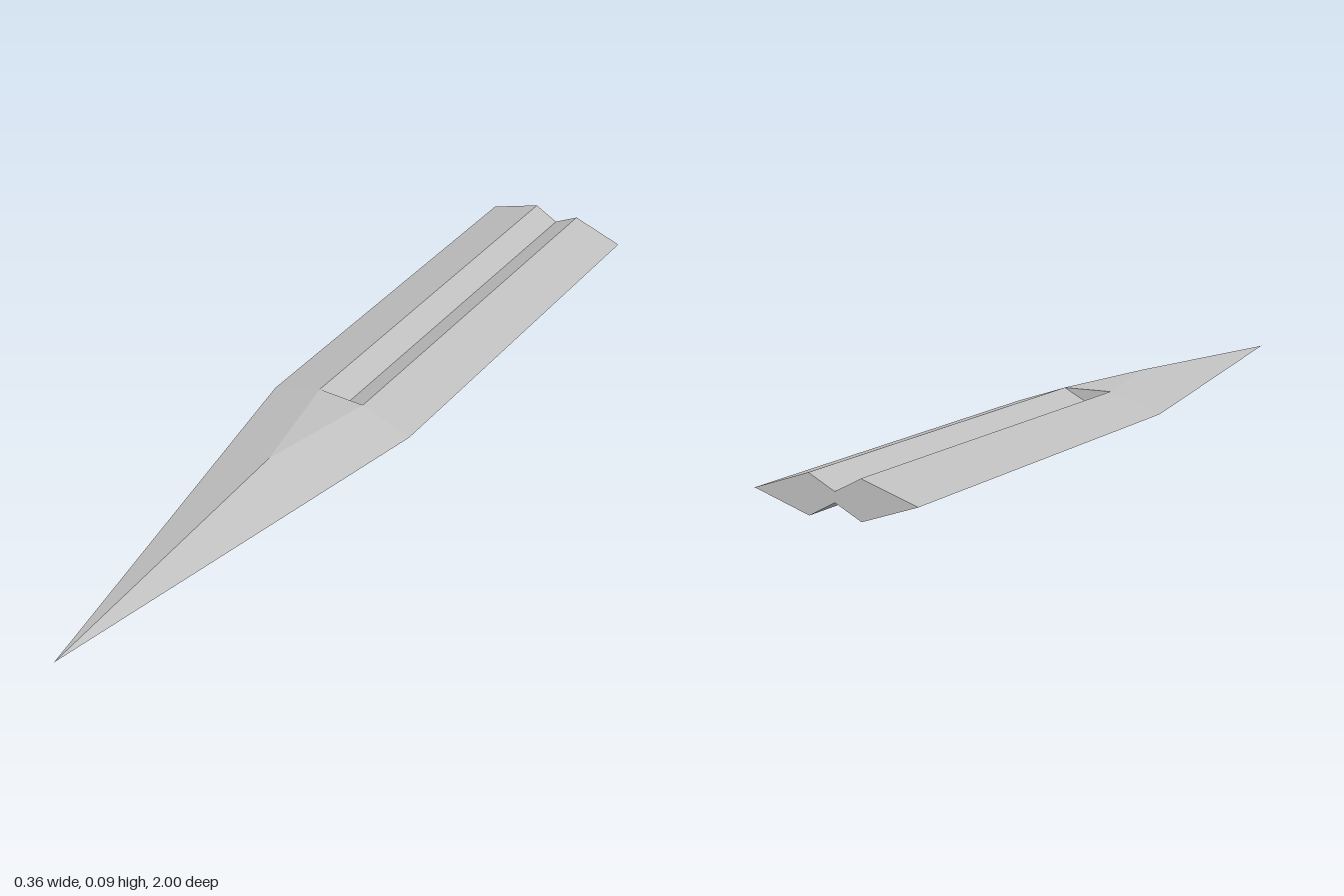
import * as THREE from 'three';

// Key points of one quarter of the blade: x >= 0, y above the mid plane
const MID = 0.0435;
const BACK = -1;
const edge = (z) => [0.178, 0, z];
const ridge = (z) => [0.057, 0.0405, z];
const groove = (z) => [0, 0.0105, z];
const axis = (z) => [0, 0, z];
const apex = [0, 0.0435, 0.28];
const tip = [0, 0, 1];

// Triangles become flat-shaded faces, repeated in all four mirrored quarters
function mirroredGeometry(triangles) {
  const positions = [];
  for (const sx of [1, -1]) {
    for (const sy of [1, -1]) {
      for (const [a, b, c] of triangles) {
        const corners = sx * sy > 0 ? [a, b, c] : [a, c, b];
        for (const [x, y, z] of corners) positions.push(x * sx, MID + y * sy, z);
      }
    }
  }
  const geometry = new THREE.BufferGeometry();
  geometry.setAttribute('position', new THREE.Float32BufferAttribute(positions, 3));
  geometry.computeVertexNormals();
  return geometry;
}

const quad = (a, b, c, d) => [[a, b, c], [a, c, d]];

export function createModel() {
  const model = new THREE.Group();
  model.name = 'blade';
  const steel = new THREE.MeshStandardMaterial({ color: 0xc0c0c0 });
  steel.name = 'steel';

  const parts = {
    // Sloping flats running down to the cutting edges
    bladeFlats: quad(edge(BACK), ridge(BACK), ridge(0), edge(0)),
    // V-shaped grooves and the walls that close them
    grooves: [
      ...quad(ridge(BACK), groove(BACK), groove(0), ridge(0)),
      [ridge(0), groove(0), [0, 0.0405, 0]],
    ],
    // Tapering point with a central ridge
    point: [
      [[0, 0.0405, 0], apex, ridge(0)],
      [edge(0), ridge(0), apex],
      [edge(0), apex, tip],
    ],
    // Flat cut at the rear
    rearEnd: [
      [axis(BACK), groove(BACK), ridge(BACK)],
      [axis(BACK), ridge(BACK), edge(BACK)],
    ],
  };

  for (const [name, triangles] of Object.entries(parts)) {
    const mesh = new THREE.Mesh(mirroredGeometry(triangles), steel);
    mesh.name = name;
    model.add(mesh);
  }
  return model;
}
